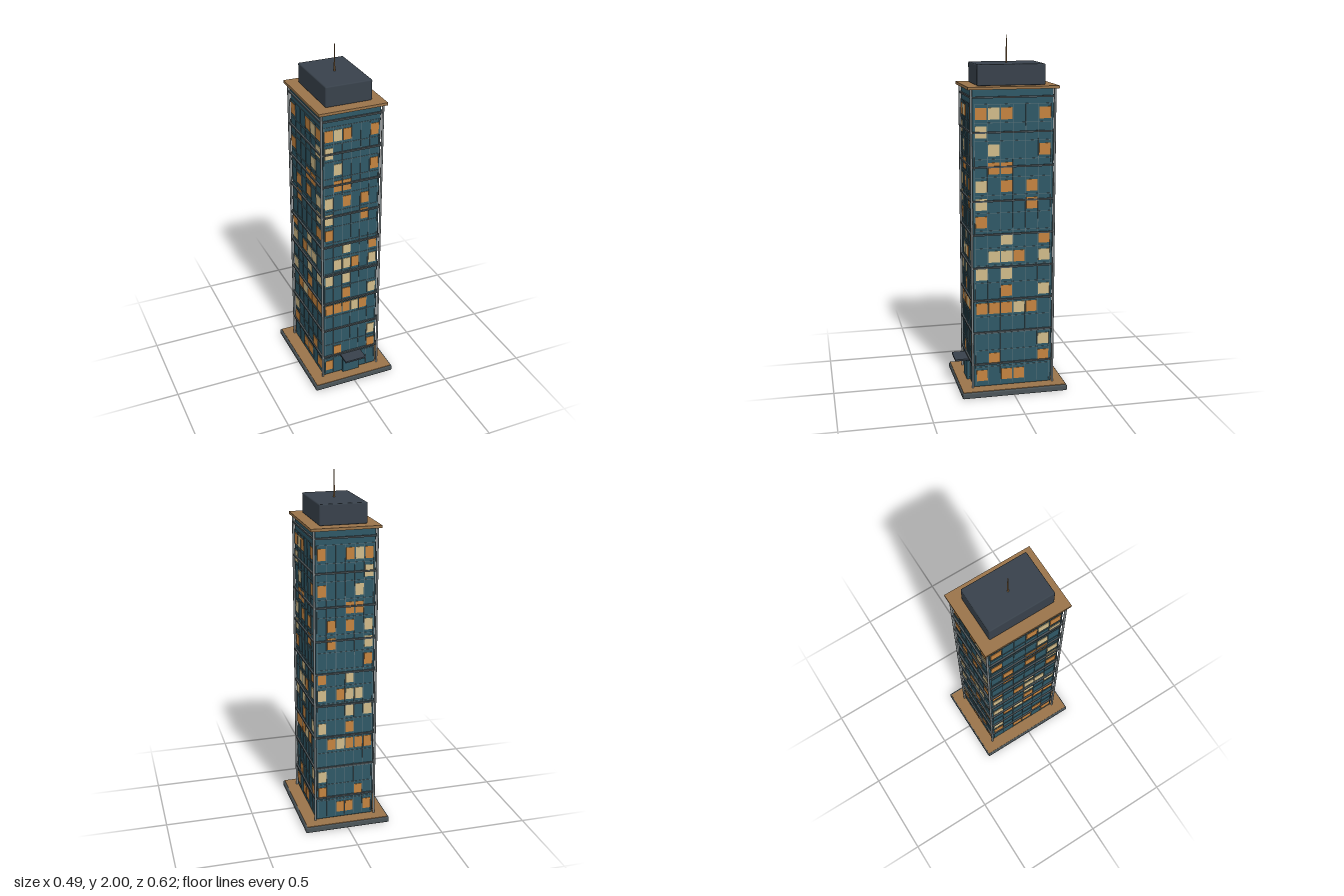
import * as THREE from 'three';
import { mergeGeometries } from 'three/addons/utils/BufferGeometryUtils.js';
import { RoundedBoxGeometry } from 'three/addons/geometries/RoundedBoxGeometry.js';

const ZC = -0.006;            // tower axis; the canopy reaches further forward
const HX = 0.168, HZ = 0.226; // half width and half depth of the glass body
const COLS = 6, ROWS = 16, FLOOR = 0.0993, FIRST = 0.103;
const PX = 0.0524, PZ = 0.071; // bay pitch on the narrow and wide faces

// Lit windows per floor, ground floor first: O = warm, C = pale
const LIT = [
  'O.OO..', '.O...O', '.....C', '......', 'OOOCO.', '..O..C', 'C.C...', '.CCO.C',
  '..C..O', 'O.....', 'C...O.', 'C.O.O.', '.OO...', '.C...O', 'C.....', 'OCO..O',
];

const mat = (color) => new THREE.MeshStandardMaterial({ color });
const MATS = {
  glass: mat(0x2f5866), warm: mat(0xc4833f), pale: mat(0xd0bb8a), bronze: mat(0x9a744a),
  dark: mat(0x38414b), stone: mat(0x4b5458), metal: mat(0x7d8486), mullion: mat(0x587078),
};

const box = (w, h, d, x, y, z) => new THREE.BoxGeometry(w, h, d).translate(x, y, z);
const bevelBox = (w, h, d, r, y) => new RoundedBoxGeometry(w, h, d, 1, r).translate(0, y, 0);

export function createModel() {
  const model = new THREE.Group();
  model.name = 'tower';
  const add = (name, geometry, material, parent = model) => {
    const mesh = new THREE.Mesh(geometry, material);
    mesh.name = name;
    parent.add(mesh);
    return mesh;
  };
  const body = new THREE.Group();
  body.name = 'building';
  body.position.z = ZC;
  model.add(body);

  // Plinth and paving
  add('plinth', bevelBox(0.494, 0.034, 0.608, 0.008, 0.017), MATS.stone, body);
  add('paving', box(0.474, 0.008, 0.594, 0, 0.033, 0), MATS.bronze, body);

  // Glass body
  add('glassBody', bevelBox(HX * 2, 1.69, HZ * 2, 0.008, 0.88), MATS.glass, body);

  // Lit windows: the same pattern on opposite faces
  const windows = { O: [], C: [] };
  LIT.forEach((row, floor) => {
    const y = FIRST + floor * FLOOR;
    [...row].forEach((kind, col) => {
      if (kind === '.') return;
      const bay = col - (COLS - 1) / 2;
      for (const s of [-1, 1]) {
        windows[kind].push(box(0.045, 0.064, 0.006, bay * PX, y, s * HZ));
        windows[kind].push(box(0.006, 0.064, 0.063, s * HX, y, -bay * PZ));
      }
    });
  });
  add('warmWindows', mergeGeometries(windows.O), MATS.warm, body);
  add('paleWindows', mergeGeometries(windows.C), MATS.pale, body);

  // Thin mullion grid around all four faces
  const grid = [];
  const top = FIRST + (ROWS - 0.5) * FLOOR, low = 0.05;
  for (let i = 0; i <= COLS; i++) {
    const bay = i - COLS / 2;
    for (const s of [-1, 1]) {
      grid.push(box(0.003, top - low, 0.006, bay * PX, (top + low) / 2, s * HZ));
      grid.push(box(0.006, top - low, 0.003, s * HX, (top + low) / 2, bay * PZ));
    }
  }
  for (let i = 1; i <= ROWS; i++) {
    const y = FIRST + (i - 0.5) * FLOOR;
    for (const s of [-1, 1]) {
      grid.push(box(COLS * PX, 0.003, 0.006, 0, y, s * HZ));
      grid.push(box(0.006, 0.003, COLS * PZ, s * HX, y, 0));
    }
  }
  add('mullions', mergeGeometries(grid), MATS.mullion, body);

  // Projecting ledges every second floor
  const ledges = [];
  for (let i = 0; i < 9; i++) {
    ledges.push(box(HX * 2 + 0.02, 0.009, HZ * 2 + 0.02, 0, 0.172 + i * 0.1885, 0));
  }
  add('ledges', mergeGeometries(ledges), MATS.stone, body);

  // Corner columns
  for (const sx of [-1, 1]) {
    for (const sz of [-1, 1]) {
      const column = new THREE.CylinderGeometry(0.0065, 0.0065, 1.69, 10);
      column.translate(sx * 0.174, 0.88, sz * 0.232);
      add('cornerColumn', column, MATS.metal, body);
    }
  }

  // Roof slab, plant room and mast
  add('roofSlab', box(0.386, 0.015, 0.502, 0, 1.7295, 0), MATS.bronze, body);
  add('plantRoom', bevelBox(0.264, 0.114, 0.379, 0.007, 1.794), MATS.dark, body);
  add('mast', new THREE.CylinderGeometry(0.002, 0.005, 0.152, 8).translate(0, 1.924, 0), MATS.bronze, body);

  // Entrance
  add('door', box(0.104, 0.11, 0.03, 0, 0.095, 0.224), MATS.glass);
  add('canopy', box(0.128, 0.01, 0.09, 0, 0.163, 0.263), MATS.dark);

  return model;
}
